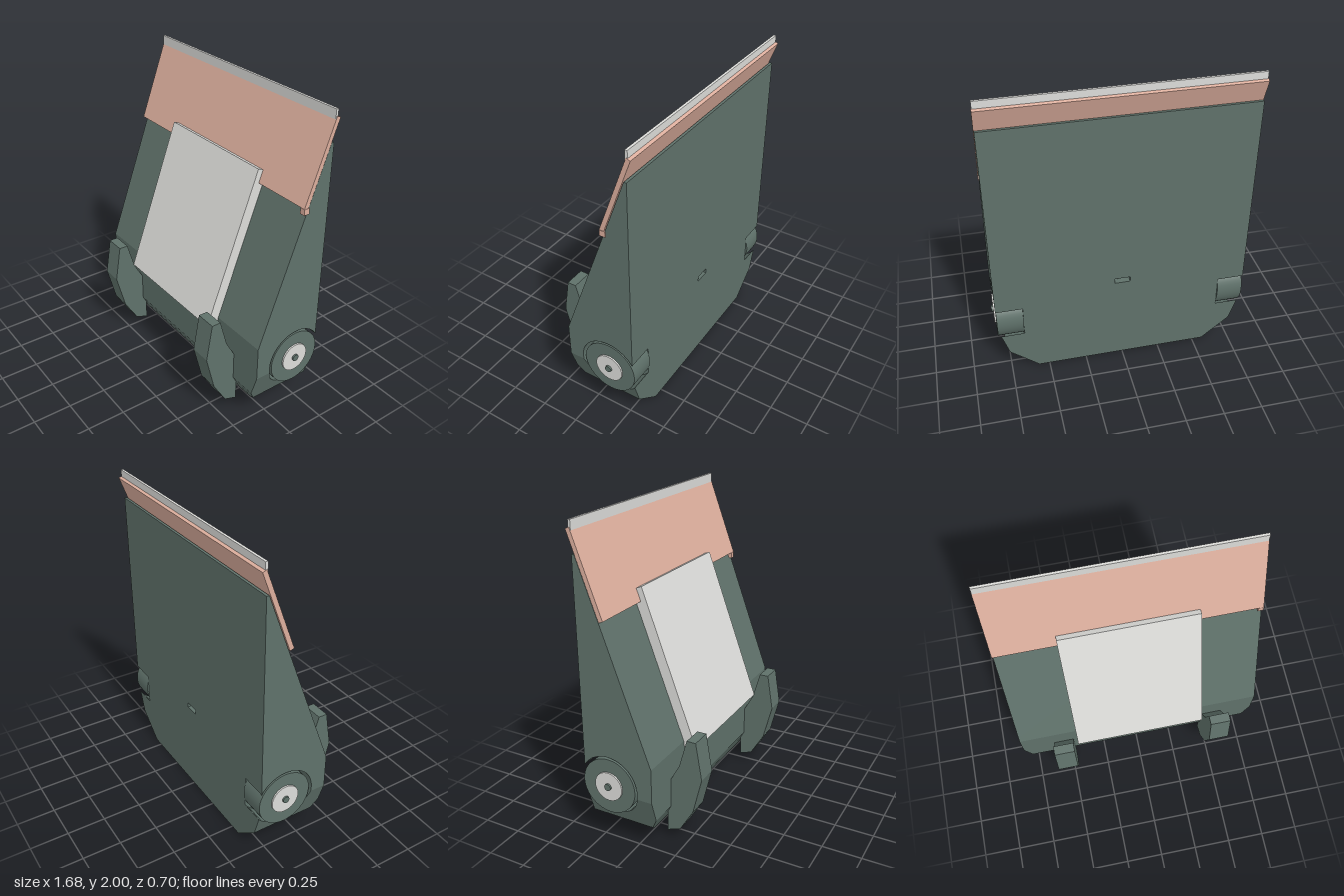
import * as THREE from 'three';
import { mergeGeometries } from 'three/addons/utils/BufferGeometryUtils.js';

const mat = (name, color) => Object.assign(new THREE.MeshStandardMaterial({ color }), { name });

// Body outline by height: [y, half width, front z]
const OUTLINE = [
  [0, 0.57, -0.1], [0.08, 0.665, 0.055], [0.155, 0.755, 0.1], [0.23, 0.779, 0.14],
  [0.375, 0.825, 0.14], [0.6, 0.825, 0.14], [1.81, 0.825, -0.308],
];
const BACK = -0.325, AXLE_Y = 0.408, AXLE_Z = -0.157, WELL_R = 0.198, WELL_X = 0.65;

function outlineAt(y, column) {
  let i = 1;
  while (i < OUTLINE.length - 1 && OUTLINE[i][0] < y) i++;
  const a = OUTLINE[i - 1], b = OUTLINE[i];
  return THREE.MathUtils.lerp(a[column], b[column], (y - a[0]) / (b[0] - a[0]));
}
const halfWidth = (y) => outlineAt(y, 1);
const frontZ = (y) => outlineAt(y, 2);
const backZ = () => BACK;
const wellReach = (y) => Math.sqrt(Math.max(0, WELL_R ** 2 - (y - AXLE_Y) ** 2));

// Stacks rectangles from y0 to y1 whose sides are functions of y
function loft(y0, y1, x0, x1, z0, z1, steps = 1) {
  const ys = OUTLINE.map((o) => o[0]).filter((y) => y > y0 && y < y1);
  for (let i = 0; i <= steps; i++) {
    // cosine spacing keeps arcs round at their ends
    ys.push(y0 + (y1 - y0) * (1 - Math.cos((Math.PI * i) / steps)) / 2);
  }
  ys.sort((a, b) => a - b);
  const positions = [], index = [];
  for (const y of ys) {
    const l = x0(y), r = x1(y), b = z0(y), f = z1(y);
    positions.push(l, y, f, r, y, f, r, y, b, l, y, b);
  }
  for (let k = 0; k < ys.length - 1; k++) {
    for (let j = 0; j < 4; j++) {
      const a = k * 4 + j, b = k * 4 + ((j + 1) % 4);
      index.push(a, b, b + 4, a, b + 4, a + 4);
    }
  }
  const t = (ys.length - 1) * 4;
  index.push(0, 2, 1, 0, 3, 2, t, t + 1, t + 2, t, t + 2, t + 3);
  const g = new THREE.BufferGeometry();
  g.setAttribute('position', new THREE.Float32BufferAttribute(positions, 3));
  g.setIndex(index);
  const flat = g.toNonIndexed();
  flat.computeVertexNormals();
  return flat;
}

function buildBody() {
  const low = AXLE_Y - WELL_R, high = AXLE_Y + WELL_R;
  const chord = Math.sqrt(WELL_R ** 2 - (AXLE_Z - BACK) ** 2);
  const c = (v) => () => v;
  const right = (y) => -halfWidth(y);
  const s0 = 0.612, s1 = 0.647, slotX = 0.05;
  const parts = [
    loft(0, low, right, halfWidth, backZ, frontZ),
    loft(low, high, c(-WELL_X), c(WELL_X), backZ, frontZ),
    loft(high, s0, right, halfWidth, backZ, frontZ),
    // band around the small slot in the back
    loft(s0, s1, right, c(-slotX), backZ, frontZ),
    loft(s0, s1, c(slotX), halfWidth, backZ, frontZ),
    loft(s0, s1, c(-slotX), c(slotX), c(BACK + 0.04), frontZ),
    loft(s1, 1.81, right, halfWidth, backZ, frontZ),
  ];
  // side walls around the round wheel wells, which open to the back
  for (const side of [-1, 1]) {
    const inner = c(side * WELL_X), outer = (y) => side * halfWidth(y);
    const [x0, x1] = side > 0 ? [inner, outer] : [outer, inner];
    const wellFront = (y) => AXLE_Z + wellReach(y);
    const wellBack = (y) => Math.max(BACK, AXLE_Z - wellReach(y));
    parts.push(
      loft(low, high, x0, x1, wellFront, frontZ, 28),
      loft(low, AXLE_Y - chord, x0, x1, backZ, wellBack, 10),
      loft(AXLE_Y + chord, high, x0, x1, backZ, wellBack, 10),
    );
  }
  return mergeGeometries(parts);
}

// Extrudes a [z, y] side profile across x, centred on x = 0
function sideExtrude(points, width) {
  const shape = new THREE.Shape(points.map(([z, y]) => new THREE.Vector2(-z, y)));
  const g = new THREE.ExtrudeGeometry(shape, { depth: width, bevelEnabled: false });
  return g.translate(0, 0, -width / 2).rotateY(Math.PI / 2);
}

export function createModel() {
  const green = mat('dull green', 0x5f716a);
  const coral = mat('pale coral', 0xdcae9d);
  const grey = mat('light grey', 0xdcdcd9);

  const model = new THREE.Group();
  model.name = 'backpack';
  const add = (name, geometry, material, x = 0, y = 0, z = 0, parent = model) => {
    const mesh = new THREE.Mesh(geometry, material);
    mesh.name = name;
    mesh.position.set(x, y, z);
    parent.add(mesh);
    return mesh;
  };

  add('body', buildBody(), green);

  // Sloping panel, upper flap and its top rail
  add('frontPanel', sideExtrude([[0.225, 0.565], [-0.135, 1.548], [-0.203, 1.52], [0.155, 0.535]], 0.87), grey);
  add('flap', sideExtrude([[-0.141, 1.455], [-0.328, 1.958], [-0.354, 1.948], [-0.168, 1.445]], 1.656), coral);
  add('topRail', new THREE.BoxGeometry(1.65, 0.06, 0.016), grey, 0, 1.97, -0.328);
  add('flapCatch', new THREE.BoxGeometry(0.034, 0.038, 0.038), coral, 0.813, 1.434, -0.16);

  // Curved front feet
  const foot = sideExtrude([
    [0.31, 0.71], [0.25, 0.71], [0.2, 0.53], [0.14, 0.42], [0.115, 0.19],
    [0.115, 0.05], [0.2, 0.08], [0.29, 0.23], [0.35, 0.47],
  ], 0.135);

  const disc = (r, width) => new THREE.CylinderGeometry(r, r, width, 48).rotateZ(Math.PI / 2);
  for (const side of [-1, 1]) {
    const label = side > 0 ? 'left' : 'right';
    add(label + 'Foot', foot, green, side * 0.533);

    // Wheel with hub and axle
    const wheel = new THREE.Group();
    wheel.name = label + 'Wheel';
    wheel.position.set(0, AXLE_Y, AXLE_Z);
    model.add(wheel);
    add('tyre', disc(0.18, 0.17), green, side * 0.736, 0, 0, wheel);
    add('hub', disc(0.094, 0.02), grey, side * 0.821, 0, 0, wheel);
    add('axle', disc(0.022, 0.04), green, side * 0.822, 0, 0, wheel);
  }
  return model;
}
